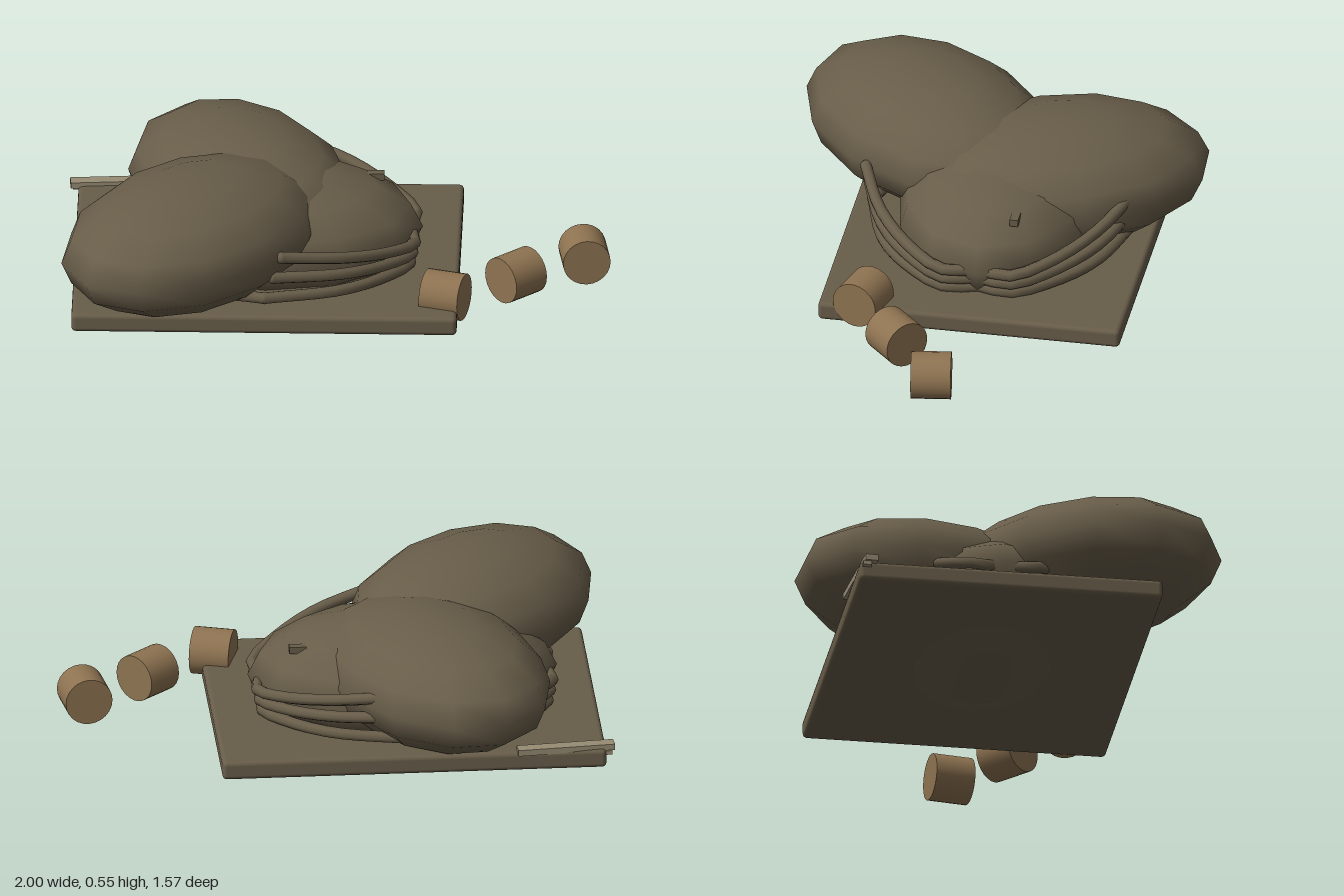
import * as THREE from 'three';
import { RoundedBoxGeometry } from 'three/addons/geometries/RoundedBoxGeometry.js';

export function createModel() {
  const root = new THREE.Group();
  const mat = (name, color) => {
    const m = new THREE.MeshStandardMaterial({ color });
    m.name = name;
    return m;
  };
  const umber = mat('dark umber', 0x685d49);
  const tan = mat('cork tan', 0x8e7351);
  const beige = mat('pale beige', 0x978c74);

  // Adds a mesh turned about the vertical axis
  const add = (name, geometry, material, position, turn = 0, parent = root) => {
    const mesh = new THREE.Mesh(geometry, material);
    mesh.name = name;
    mesh.position.set(...position);
    mesh.rotation.y = turn;
    parent.add(mesh);
    return mesh;
  };

  // Slab with softened edges
  add('baseBoard', new RoundedBoxGeometry(1.34, 0.068, 1.066, 2, 0.016), umber, [-0.18, 0.09, -0.075], 0.296);

  // Three flattened, overlapping lobes
  const lobe = new THREE.SphereGeometry(1, 12, 8);
  lobe.scale(0.54, 0.22, 0.365);
  add('middleLobe', lobe, umber, [-0.18, 0.22, -0.075], 0.296);
  add('backLobe', lobe, umber, [-0.32, 0.285, -0.22], 2.305);
  add('frontLobe', lobe, umber, [-0.34, 0.325, 0.29], -1.99);

  // Curved limbs hugging the middle lobe, three in each quarter
  const limbs = new THREE.Group();
  limbs.name = 'limbs';
  limbs.position.set(-0.18, 0, -0.075);
  limbs.rotation.y = 0.296;
  root.add(limbs);
  for (const sx of [-1, 1]) {
    for (const sz of [-1, 1]) {
      for (let i = 0; i < 3; i++) {
        const low = 0.215 - i * 0.038;
        const high = 0.325 - i * 0.082;
        const reach = 1 - i * 0.015;
        const points = [
          [0.49, low, 0.0],
          [0.515, low, 0.12],
          [0.42, low + (high - low) * 0.25, 0.26],
          [0.27, low + (high - low) * 0.62, 0.385],
          [0.06 - i * 0.03, high, 0.475],
        ].map(([x, y, z]) => new THREE.Vector3(sx * x * reach, y, sz * z * reach));
        const path = new THREE.CatmullRomCurve3(points);
        add('limb', new THREE.TubeGeometry(path, 12, 0.021, 8), umber, [0, 0, 0], 0, limbs);
        add('limbEnd', new THREE.SphereGeometry(0.021, 8, 6), umber, points[4].toArray(), 0, limbs);
      }
    }
  }

  // Small tab on the middle lobe
  add('tab', new THREE.BoxGeometry(0.06, 0.025, 0.03), umber, [0.145, 0.36, -0.29], 0.3);

  // Loose short cylinders lying on their sides
  const cork = new THREE.CylinderGeometry(0.083, 0.083, 0.14, 24);
  cork.rotateZ(Math.PI / 2);
  add('corkNear', cork, tan, [0.53, 0.143, 0.105], 0);
  add('corkMiddle', cork, tan, [0.715, 0.143, -0.12], -2.1);
  add('corkFar', cork, tan, [0.89, 0.143, -0.348], -1.13);

  // Pale sliver on the board corner, in two uneven layers
  add('sliver', new THREE.BoxGeometry(0.34, 0.022, 0.045), beige, [-0.834, 0.127, -0.407], 0.38);
  add('sliverLayer', new THREE.BoxGeometry(0.25, 0.015, 0.03), beige, [-0.87, 0.109, -0.4], 0.33);

  return root;
}
